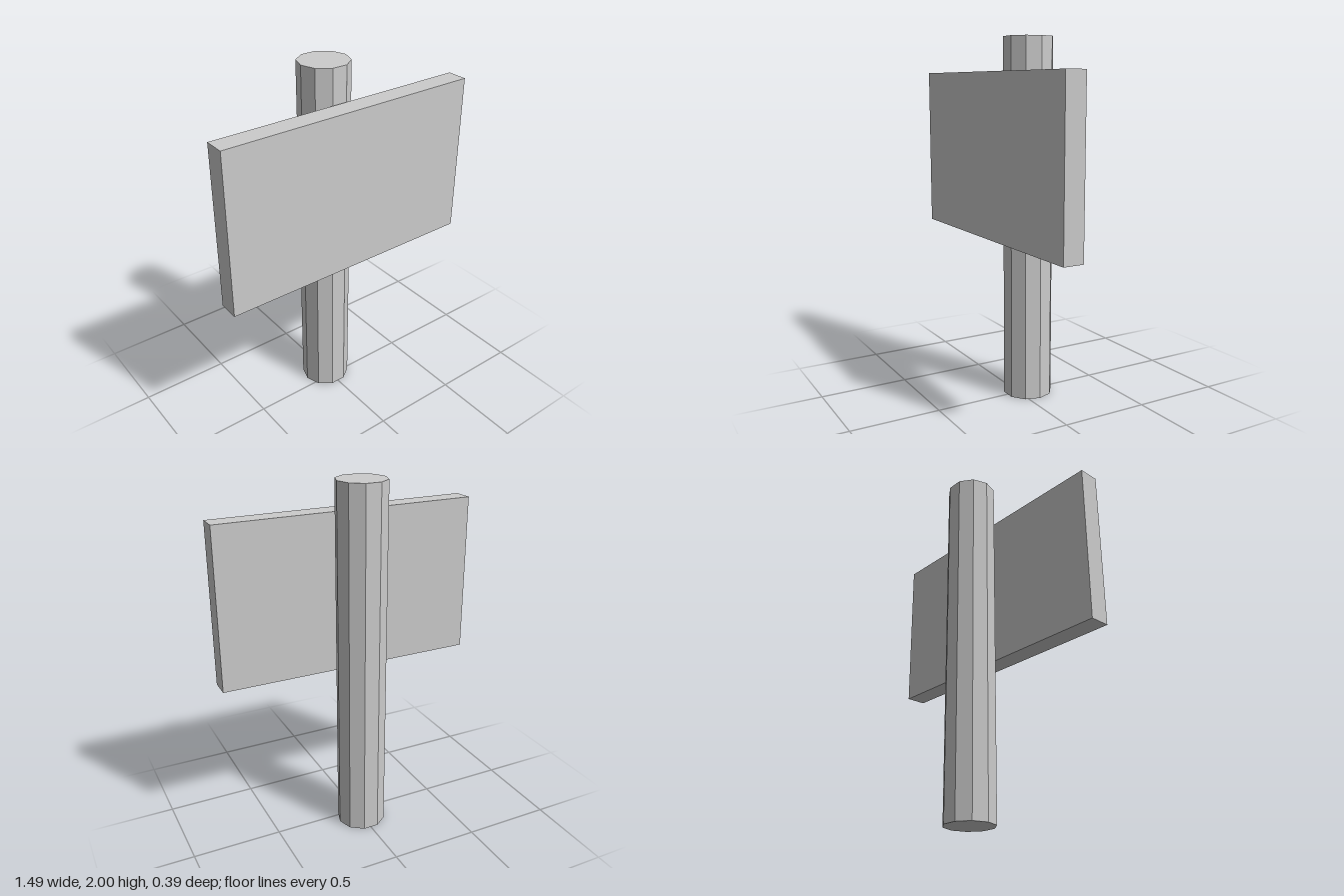
import * as THREE from 'three';

export function createModel() {
  const group = new THREE.Group();
  const material = new THREE.MeshStandardMaterial({ color: 0xcccccc, flatShading: true });

  const addPart = (name, geometry, x, y, z) => {
    const mesh = new THREE.Mesh(geometry, material);
    mesh.name = name;
    mesh.position.set(x, y, z);
    group.add(mesh);
  };

  // Ten-sided post, with corners on the x axis and flats facing front and back
  const post = new THREE.CylinderGeometry(0.138, 0.138, 2, 10, 1, false, Math.PI / 2);
  addPart('post', post, 0, 1, -0.062);

  // Sign board, standing just clear of the front of the post
  addPart('signBoard', new THREE.BoxGeometry(1.486, 0.896, 0.114), 0, 1.367, 0.136);

  return group;
}
